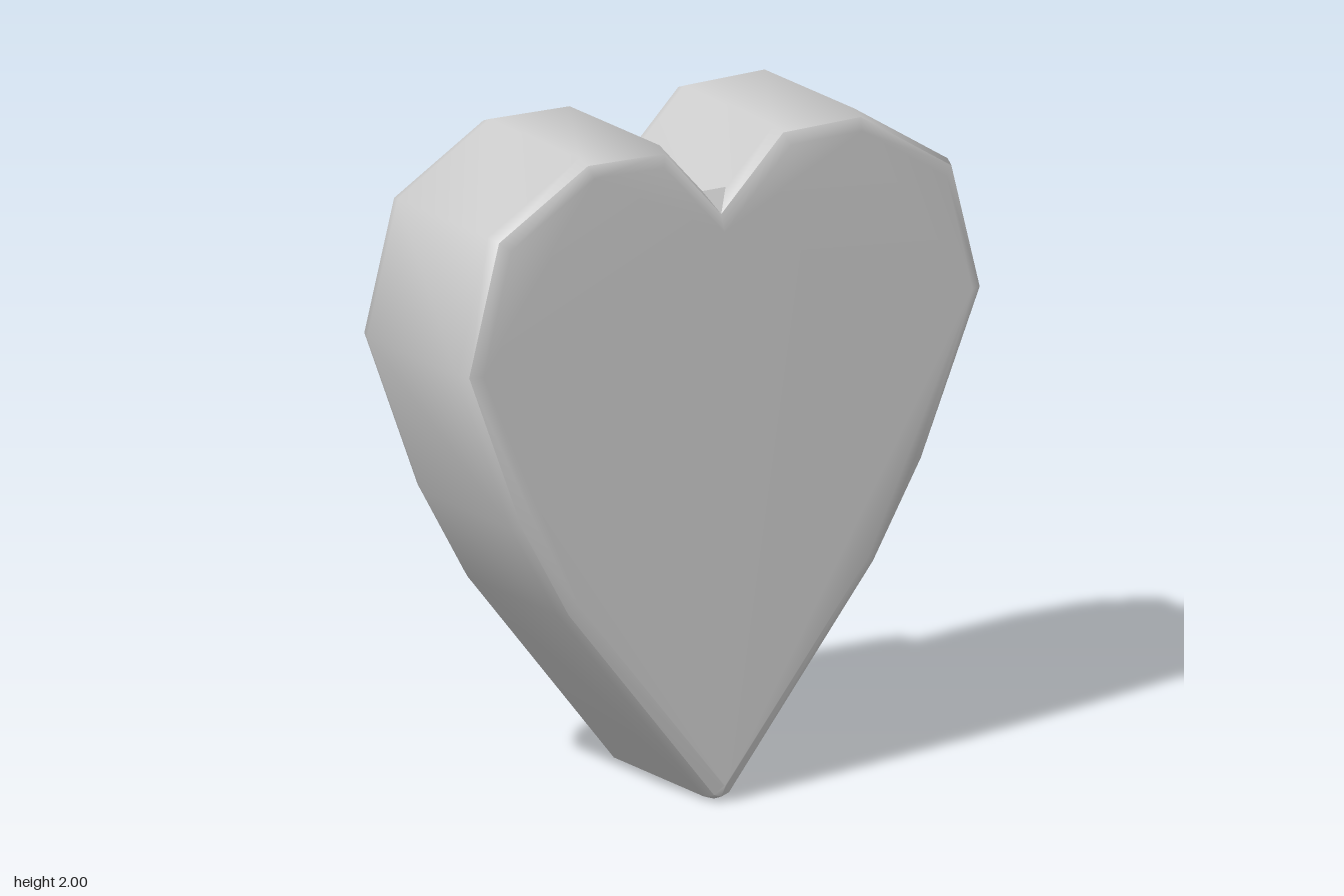
import * as THREE from 'three';

// Heart outline, counter-clockwise from the notch: left half, tip, right half
const OUTLINE = [
  [-0.013, 1.79], [-0.2, 1.995], [-0.475, 2], [-0.79, 1.81], [-0.895, 1.41], [-0.71, 0.92], [-0.55, 0.635],
  [-0.048, 0.012], [-0.013, 0], [0.022, 0.012],
  [0.52, 0.635], [0.685, 0.92], [0.89, 1.41], [0.79, 1.8], [0.47, 2], [0.193, 1.995],
].map(([x, y]) => new THREE.Vector2(x, y));
const N = OUTLINE.length;

// Bevel profile: [inset, z]
const SIDE = [0, 0.24], EDGE = [0.015, 0.28], FACE = [0.05, 0.3];

// Mitred inset of the outline, lifted to a given z
function ring([inset, z]) {
  return OUTLINE.map((p, i) => {
    const a = p.clone().sub(OUTLINE[(i + N - 1) % N]).normalize();
    const b = OUTLINE[(i + 1) % N].clone().sub(p).normalize();
    const na = new THREE.Vector2(-a.y, a.x), nb = new THREE.Vector2(-b.y, b.x);
    const m = na.clone().add(nb).normalize();
    const q = p.clone().addScaledVector(m, inset / m.dot(na));
    return new THREE.Vector3(q.x, q.y, z);
  });
}

function makeMesh(name, points, index, material) {
  const g = new THREE.BufferGeometry().setFromPoints(points);
  g.setIndex(index);
  g.computeVertexNormals();
  const mesh = new THREE.Mesh(g, material);
  mesh.name = name;
  return mesh;
}

export function createModel() {
  const group = new THREE.Group();
  group.name = 'heart';
  const material = new THREE.MeshStandardMaterial({ color: 0xcccccc });
  const thin = new THREE.MeshStandardMaterial({ color: 0xcccccc, side: THREE.DoubleSide });

  // Rim: smooth band around the sides, left open at the notch to keep its crease
  const levels = [[EDGE[0], -EDGE[1]], [SIDE[0], -SIDE[1]], SIDE, EDGE];
  const rimPoints = [], rimIndex = [];
  levels.forEach((level, r) => {
    const pts = ring(level);
    rimPoints.push(...pts, pts[0].clone());
    if (r === 0) return;
    for (let i = 0; i < N; i++) {
      const a = (r - 1) * (N + 1) + i, b = a + N + 1;
      rimIndex.push(a, a + 1, b + 1, a, b + 1, b);
    }
  });
  group.add(makeMesh('rim', rimPoints, rimIndex, material));

  // Front and back faces, each with a shallow bevel running into the flat
  for (const s of [1, -1]) {
    const outer = ring([EDGE[0], s * EDGE[1]]), inner = ring([FACE[0], s * FACE[1]]);
    const index = [];
    const tri = (a, b, c) => (s > 0 ? index.push(a, b, c) : index.push(a, c, b));
    for (let i = 0; i < N; i++) {
      const j = (i + 1) % N;
      tri(i, j, N + j);
      tri(i, N + j, N + i);
    }
    const flat = inner.map((p) => new THREE.Vector2(p.x, p.y));
    for (const [a, b, c] of THREE.ShapeUtils.triangulateShape(flat, [])) tri(N + a, N + b, N + c);
    group.add(makeMesh(s > 0 ? 'frontFace' : 'backFace', [...outer, ...inner], index, material));

    // Small web across the end of the notch
    const web = [[-0.053, 1.834], [0.027, 1.834]].map(([x, y]) => new THREE.Vector3(x, y, s * SIDE[1]));
    web.push(outer[0].clone());
    group.add(makeMesh(s > 0 ? 'frontNotchWeb' : 'backNotchWeb', web, s > 0 ? [0, 2, 1] : [0, 1, 2], thin));
  }
  return group;
}
